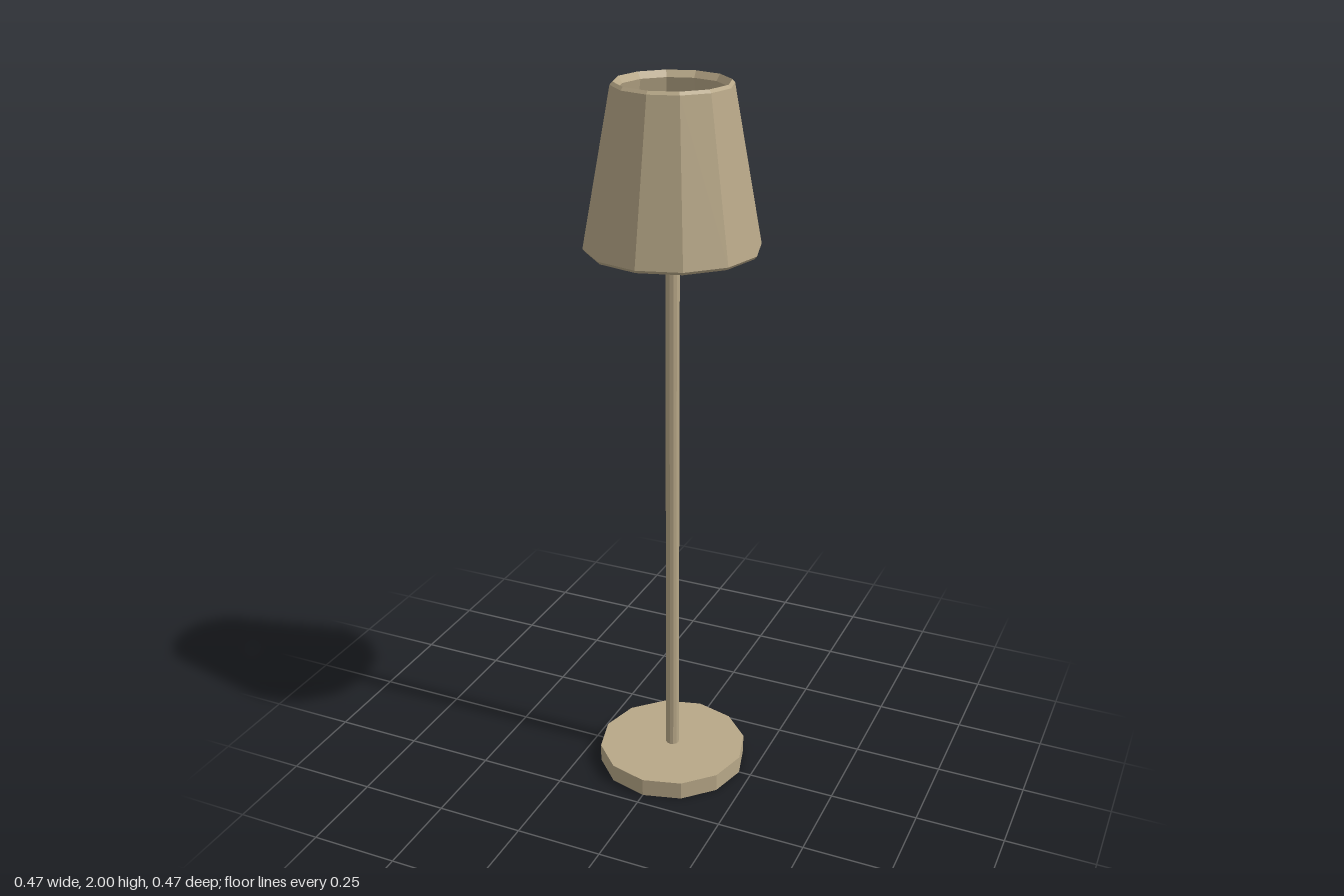
import * as THREE from 'three';

const SIDES = 12;

export function createModel() {
  const lamp = new THREE.Group();
  lamp.name = 'floorLamp';

  const beige = new THREE.MeshStandardMaterial({ color: 0xb8a888, flatShading: true });
  beige.name = 'beige';

  const add = (name, geometry, y = 0) => {
    const mesh = new THREE.Mesh(geometry, beige);
    mesh.name = name;
    mesh.position.y = y;
    lamp.add(mesh);
  };

  // Flat round foot
  const baseHeight = 0.052;
  add('base', new THREE.CylinderGeometry(0.214, 0.214, baseHeight, SIDES), baseHeight / 2);

  // Slim pole, ending just inside the shade
  const poleTop = 1.6;
  add('pole', new THREE.CylinderGeometry(0.019, 0.019, poleTop - baseHeight, SIDES), (poleTop + baseHeight) / 2);

  // Hollow tapered shade with bevelled rims: up the outside, down the inside
  const profile = [
    [0.217, 1.58],
    [0.226, 1.57],
    [0.2325, 1.578],
    [0.156, 1.992],
    [0.149, 2.0],
    [0.137, 1.983],
    [0.217, 1.58],
  ].map(([r, y]) => new THREE.Vector2(r, y));
  add('shade', new THREE.LatheGeometry(profile, SIDES));

  return lamp;
}
